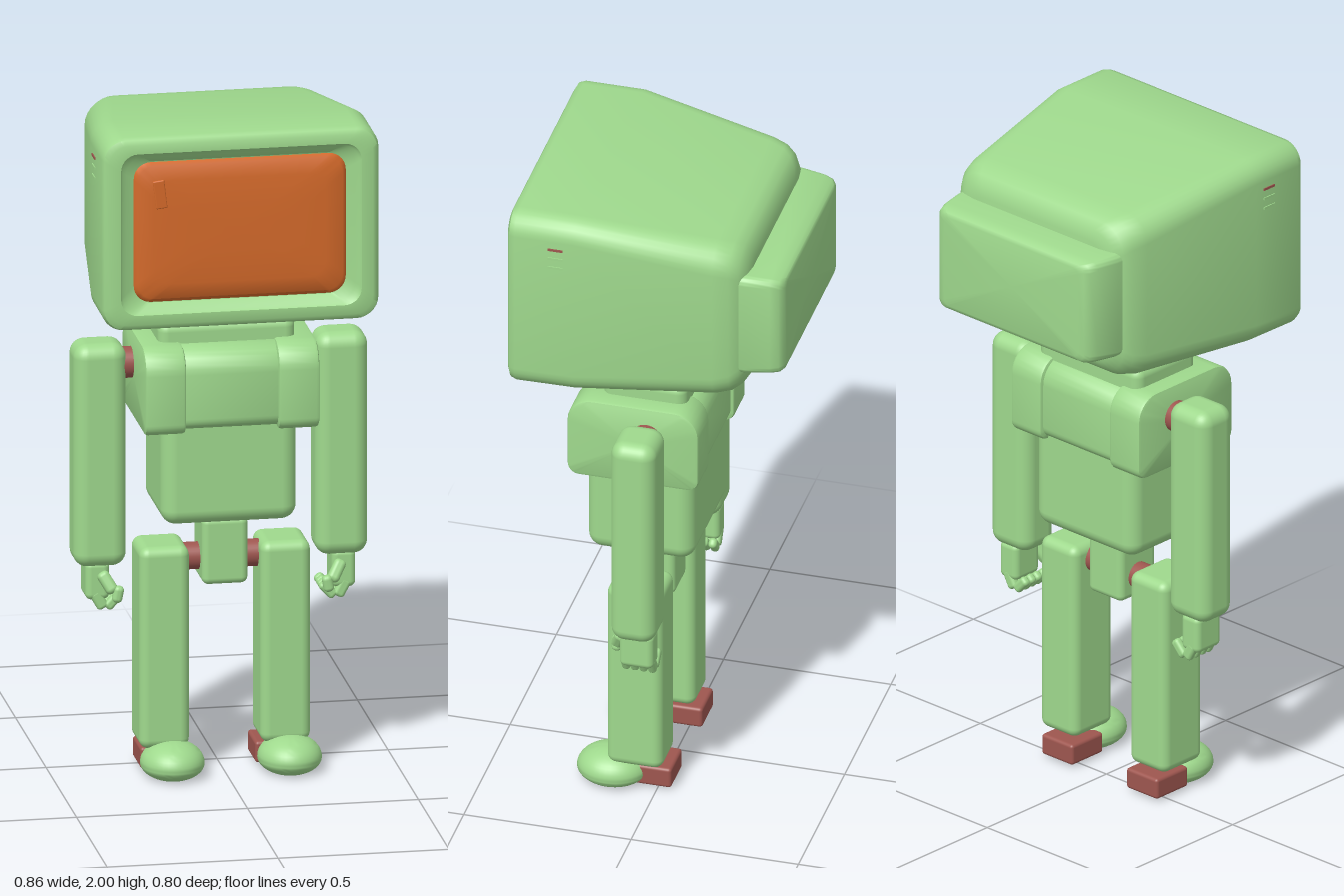
import * as THREE from 'three';
import { toCreasedNormals } from 'three/addons/utils/BufferGeometryUtils.js';
import { RoundedBoxGeometry } from 'three/addons/geometries/RoundedBoxGeometry.js';

function material(name, color) {
  const m = new THREE.MeshStandardMaterial({ color });
  m.name = name;
  return m;
}

// Rounded rectangle ring: top corners use radius rt, bottom corners rb
function ring([z, hw, y0, y1, rt, rb = rt]) {
  const pts = [], n = 7;
  const corners = [
    [hw - rt, y1 - rt, 0, rt], [-hw + rt, y1 - rt, 1, rt],
    [-hw + rb, y0 + rb, 2, rb], [hw - rb, y0 + rb, 3, rb],
  ];
  for (const [cx, cy, quarter, r] of corners) {
    for (let i = 0; i <= n; i++) {
      const a = (quarter + i / n) * Math.PI / 2;
      pts.push([cx + r * Math.cos(a), cy + r * Math.sin(a), z]);
    }
  }
  return pts;
}

// Skin a list of cross-sections running from back to front, closed by end caps
function loft(sections, crease = 0.75) {
  const rings = sections.map(ring), n = rings[0].length;
  const pos = rings.flat(2), idx = [];
  for (let i = 0; i < rings.length - 1; i++) {
    for (let j = 0; j < n; j++) {
      const k = (j + 1) % n, a = i * n + j, b = i * n + k;
      idx.push(a, b, b + n, a, b + n, a + n);
    }
  }
  const last = (rings.length - 1) * n, back = rings.length * n;
  for (const s of [sections[0], sections[sections.length - 1]]) pos.push(0, (s[2] + s[3]) / 2, s[0]);
  for (let j = 0; j < n; j++) {
    const k = (j + 1) % n;
    idx.push(back, k, j, back + 1, last + j, last + k);
  }
  const g = new THREE.BufferGeometry();
  g.setAttribute('position', new THREE.Float32BufferAttribute(pos, 3));
  g.setIndex(idx);
  return toCreasedNormals(g, crease);
}

export function createModel() {
  const model = new THREE.Group();
  model.name = 'robot';
  const green = material('shell green', 0x9fd98d);
  const orange = material('screen orange', 0xd56a2a);
  const red = material('joint red', 0x9e564f);

  function add(name, geo, mat, x = 0, y = 0, z = 0, parent = model) {
    const m = new THREE.Mesh(geo, mat);
    m.name = name;
    m.position.set(x, y, z);
    parent.add(m);
    return m;
  }
  // Rounded box given by its extents
  function box(name, mat, [x0, x1], [y0, y1], [z0, z1], r, parent) {
    return add(name, new RoundedBoxGeometry(x1 - x0, y1 - y0, z1 - z0, 4, r), mat,
      (x0 + x1) / 2, (y0 + y1) / 2, (z0 + z1) / 2, parent);
  }

  // Head: tapered casing with a rim and a recess for the screen
  add('headCasing', loft([
    [-0.295, 0.265, 1.515, 1.865, 0.06],
    [-0.288, 0.298, 1.483, 1.898, 0.075],
    [-0.27, 0.322, 1.458, 1.922, 0.08],
    [-0.245, 0.338, 1.442, 1.936, 0.08],
    [-0.2, 0.352, 1.433, 1.945, 0.08],
    [0.2, 0.405, 1.422, 2.0, 0.065],
    [0.375, 0.405, 1.42, 2.0, 0.065],
    [0.392, 0.399, 1.426, 1.994, 0.06],
    [0.4, 0.385, 1.44, 1.98, 0.055],
    [0.4, 0.352, 1.468, 1.954, 0.05],
    [0.392, 0.346, 1.474, 1.948, 0.05],
    [0.388, 0.335, 1.482, 1.94, 0.05],
    [0.37, 0.312, 1.498, 1.922, 0.05],
  ]), green);
  add('screen', loft([
    [0.36, 0.31, 1.5, 1.92, 0.05],
    [0.372, 0.31, 1.5, 1.92, 0.05],
    [0.379, 0.3, 1.51, 1.91, 0.05],
    [0.385, 0.25, 1.555, 1.865, 0.05],
    [0.388, 0.15, 1.63, 1.79, 0.05],
  ], 1.2), orange);
  const glint = add('screenGlint', new RoundedBoxGeometry(0.034, 0.085, 0.008, 3, 0.004), orange, -0.235, 1.825, 0.384);
  glint.rotation.z = 0.12;
  add('rearHousing', loft([
    [-0.4, 0.265, 1.545, 1.825, 0.02],
    [-0.396, 0.284, 1.534, 1.836, 0.025],
    [-0.385, 0.298, 1.528, 1.842, 0.025],
    [-0.36, 0.308, 1.526, 1.846, 0.025],
    [-0.29, 0.32, 1.522, 1.85, 0.025],
    [-0.25, 0.32, 1.522, 1.85, 0.025],
  ]), green);

  // Neck and torso
  add('neck', new THREE.CylinderGeometry(0.053, 0.053, 0.12, 32), red, 0, 1.39, 0.05);
  box('collar', green, [-0.2, 0.2], [1.2, 1.37], [-0.08, 0.17], 0.03);
  box('abdomen', green, [-0.198, 0.198], [0.77, 1.2], [-0.1, 0.22], 0.045);
  const chest = (name, x0, x1, z0, z1, y0, y1) => {
    const h = (z1 - z0) / 2, e = 0.01;
    const g = loft([
      [x0, h - e, y0 + e, y1 - e, 0.065, 0.025],
      [x0 + 0.003, h - 0.003, y0 + 0.003, y1 - 0.003, 0.072, 0.032],
      [x0 + e, h, y0, y1, 0.075, 0.035],
      [x1 - e, h, y0, y1, 0.075, 0.035],
      [x1 - 0.003, h - 0.003, y0 + 0.003, y1 - 0.003, 0.072, 0.032],
      [x1, h - e, y0 + e, y1 - e, 0.065, 0.025],
    ]);
    g.rotateY(Math.PI / 2);
    add(name, g, green, 0, 0, (z0 + z1) / 2);
  };
  chest('chestBand', -0.15, 0.15, -0.122, 0.247, 1.065, 1.307);
  chest('leftChestPad', 0.135, 0.255, -0.133, 0.26, 1.055, 1.312);
  chest('rightChestPad', -0.255, -0.135, -0.133, 0.26, 1.055, 1.312);

  // Pelvis and joint axles
  const axle = (name, length, r, y, z) => {
    add(name, new THREE.CylinderGeometry(r, r, length, 32), red, 0, y, z).rotation.z = Math.PI / 2;
  };
  box('pelvis', green, [-0.067, 0.067], [0.565, 0.767], [-0.01, 0.14], 0.02);
  axle('hipAxle', 0.26, 0.04, 0.635, 0.062);
  axle('shoulderAxle', 0.6, 0.046, 1.215, 0.022);

  for (const s of [1, -1]) {
    const side = s > 0 ? 'left' : 'right';
    const span = (a, b) => (s > 0 ? [a, b] : [-b, -a]);

    // Arm
    box(side + 'Arm', green, span(0.276, 0.43), [0.615, 1.285], [-0.047, 0.088], 0.042);

    // Hand with inward curled fingers
    const hand = new THREE.Group();
    hand.name = side + 'Hand';
    model.add(hand);
    box('palm', green, span(0.325, 0.395), [0.515, 0.63], [-0.035, 0.067], 0.018, hand);
    for (let i = 0; i < 4; i++) {
      const z = -0.023 + i * 0.026;
      const knuckle = add('fingerBase', new RoundedBoxGeometry(0.034, 0.06, 0.025, 3, 0.011), green, s * 0.356, 0.515, z, hand);
      knuckle.rotation.z = -s * 0.5;
      const tip = add('fingerTip', new RoundedBoxGeometry(0.03, 0.058, 0.025, 3, 0.011), green, s * 0.314, 0.51, z, hand);
      tip.rotation.z = s * 0.75;
    }
    const thumb = add('thumb', new RoundedBoxGeometry(0.036, 0.07, 0.036, 3, 0.014), green, s * 0.335, 0.572, 0.08, hand);
    thumb.rotation.set(-0.4, 0, -s * 0.5);
    const thumbTip = add('thumbTip', new RoundedBoxGeometry(0.03, 0.05, 0.03, 3, 0.013), green, s * 0.307, 0.54, 0.095, hand);
    thumbTip.rotation.z = s * 0.2;

    // Leg
    box(side + 'Leg', green, span(0.104, 0.25), [0.08, 0.685], [-0.022, 0.145], 0.028);

    // Foot: domed toe with a flattened sole, and a heel block
    const toe = new THREE.SphereGeometry(1, 40, 24);
    const p = toe.attributes.position;
    for (let i = 0; i < p.count; i++) {
      const y = p.getY(i);
      p.setY(i, y > 0 ? 0.04 + y * 0.065 : Math.max(0, 0.04 + y * 0.05));
    }
    toe.scale(0.093, 1, 0.105);
    add(side + 'Toe', toCreasedNormals(toe, 0.6), green, s > 0 ? 0.187 : -0.156, 0, 0.14);
    const heelX = s > 0 ? 0.158 : -0.178;
    box(side + 'Heel', red, [heelX - 0.062, heelX + 0.062], [0.008, 0.072], [-0.042, 0.09], 0.01);

    // Side vents on the head
    for (let i = 0; i < 3; i++) {
      add(side + 'Vent', new THREE.BoxGeometry(0.008, 0.007, 0.045), i ? green : red, s * 0.404, 1.91 - i * 0.03, 0.253);
    }
  }
  return model;
}
